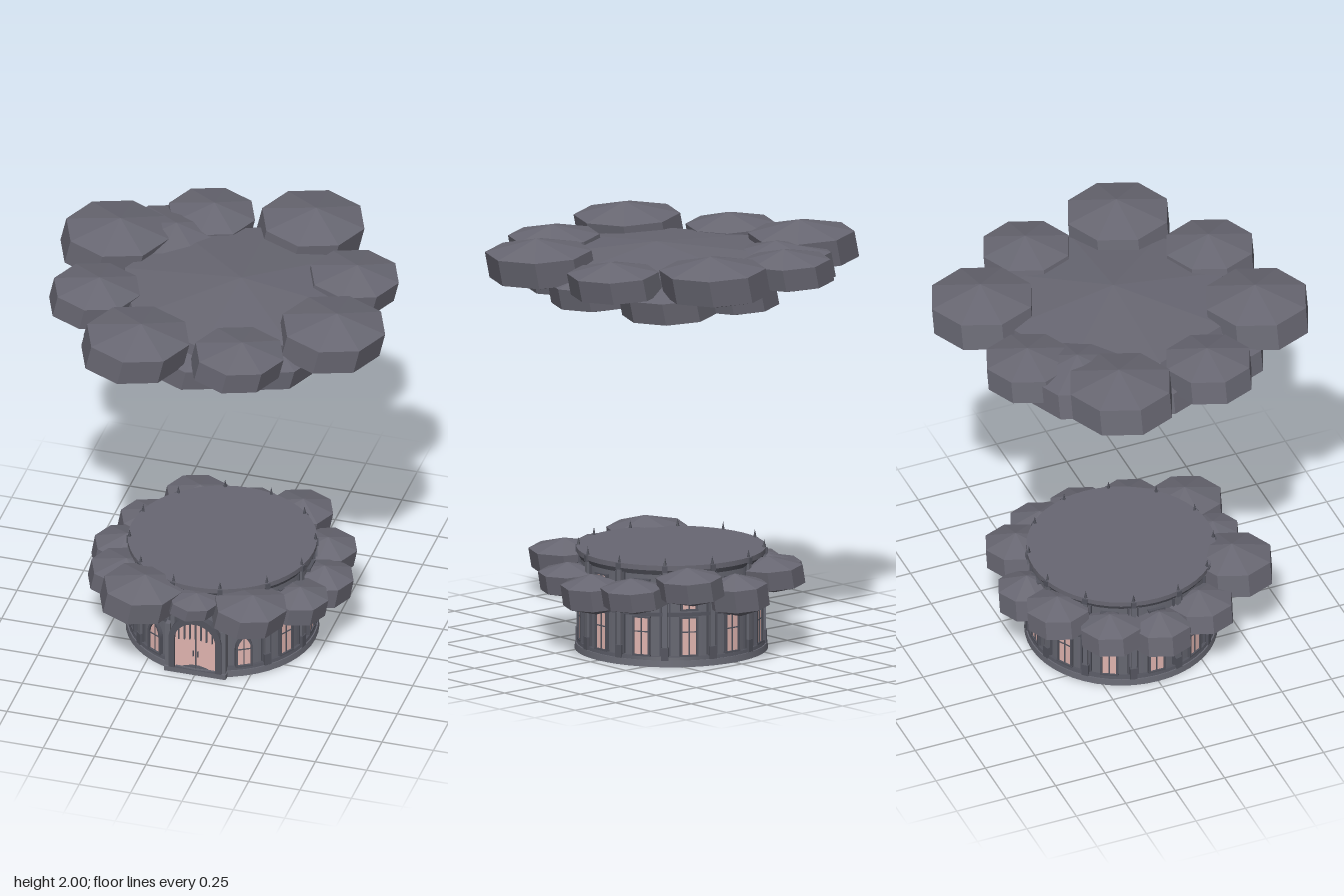
import * as THREE from 'three';

const mat = (name, color, opts = {}) => Object.assign(new THREE.MeshStandardMaterial({ color, ...opts }), { name });

export function createModel() {
  const model = new THREE.Group();
  const cloudGrey = mat('cloud grey', 0x686772, { flatShading: true });
  const stone = mat('wall stone', 0x666771);
  const trim = mat('dark trim', 0x53545e);
  const roofGrey = mat('roof grey', 0x686772);
  const glass = mat('rose glass', 0xdfb3ae, { side: THREE.DoubleSide });

  const add = (parent, name, geo, material, x = 0, y = 0, z = 0) => {
    const m = new THREE.Mesh(geo, material);
    m.name = name;
    m.position.set(x, y, z);
    parent.add(m);
    return m;
  };
  const box = (parent, name, material, w, h, d, x, y, z) =>
    add(parent, name, new THREE.BoxGeometry(w, h, d), material, x, y, z);

  // Faceted cloud: eight-sided low sphere, leaning a little, then squashed
  const puff = new THREE.SphereGeometry(1, 8, 3).rotateZ(-0.1);
  const cloud = (parent, name, x, y, z, r, half) =>
    add(parent, name, puff, cloudGrey, x, y, z).scale.set(r / 0.866, half, r / 0.866);

  // Cloud canopy: [x, y, z, radius, half height]
  const canopy = new THREE.Group();
  canopy.name = 'cloudCanopy';
  model.add(canopy);
  cloud(canopy, 'canopyCore', 0.03, 1.82, 0, 0.54, 0.13);
  const canopyClouds = [
    // large top clouds
    [0.6, 1.875, 0.24, 0.25, 0.125], [0.25, 1.875, -0.595, 0.25, 0.125],
    [-0.6, 1.875, -0.25, 0.25, 0.125], [-0.25, 1.875, 0.585, 0.25, 0.125],
    // middle clouds
    [0.56, 1.855, -0.24, 0.215, 0.105], [-0.23, 1.855, -0.56, 0.21, 0.105],
    [-0.56, 1.855, 0.21, 0.21, 0.11], [0.235, 1.86, 0.55, 0.215, 0.105],
    // low clouds tucked underneath
    [0, 1.755, 0.44, 0.2, 0.1], [0, 1.755, -0.45, 0.2, 0.1],
    [-0.445, 1.765, 0, 0.2, 0.1], [0.49, 1.765, 0, 0.2, 0.1],
    [0.34, 1.745, -0.36, 0.22, 0.105], [0.33, 1.765, 0.34, 0.22, 0.1],
    [-0.34, 1.765, 0.35, 0.22, 0.1], [-0.36, 1.83, -0.36, 0.25, 0.12],
  ];
  canopyClouds.forEach((c) => cloud(canopy, 'canopyCloud', ...c));

  // Clouds wrapped around the building
  const ring = new THREE.Group();
  ring.name = 'cloudRing';
  model.add(ring);
  const ringClouds = [
    [-0.26, 0.41, 0.46, 0.19, 0.11], [0.26, 0.395, 0.44, 0.175, 0.095], [0, 0.412, 0.47, 0.12, 0.058],
    [0.48, 0.32, 0, 0.15, 0.1], [-0.48, 0.32, 0, 0.15, 0.1],
    [0.43, 0.345, 0.225, 0.145, 0.088], [-0.42, 0.345, 0.225, 0.16, 0.09],
    [0.43, 0.34, -0.225, 0.15, 0.088], [-0.42, 0.34, -0.225, 0.15, 0.088],
    [0.25, 0.39, -0.42, 0.155, 0.095], [-0.25, 0.38, -0.42, 0.155, 0.09],
    [0, 0.325, -0.47, 0.145, 0.105],
  ];
  ringClouds.forEach((c) => cloud(ring, 'ringCloud', ...c));

  // Round hall
  const hall = new THREE.Group();
  hall.name = 'roundHall';
  model.add(hall);
  const drum = (name, material, r0, r1, y0, y1) =>
    add(hall, name, new THREE.CylinderGeometry(r1, r0, y1 - y0, 48), material, 0, (y0 + y1) / 2, 0);
  drum('basePlinth', stone, 0.452, 0.448, 0, 0.03);
  drum('baseStep', trim, 0.442, 0.438, 0.03, 0.045);
  drum('wall', stone, 0.425, 0.425, 0.04, 0.455);
  drum('stringCourse', trim, 0.436, 0.436, 0.238, 0.255);
  drum('cornice', trim, 0.428, 0.438, 0.435, 0.458);
  drum('roof', roofGrey, 0.442, 0.442, 0.458, 0.482);

  // Pointed or round arch outline standing on y0
  const archShape = (Shape, w, y0, spring, top, pointed) => {
    const s = new Shape();
    s.moveTo(-w, y0);
    s.lineTo(w, y0);
    s.lineTo(w, spring);
    if (pointed) {
      s.quadraticCurveTo(w, (spring + top) / 2, 0, top);
      s.quadraticCurveTo(-w, (spring + top) / 2, -w, spring);
    } else s.absellipse(0, spring, w, top - spring, 0, Math.PI, false);
    s.closePath();
    return s;
  };
  const archFrame = (parent, name, outer, inner, depth, z) => {
    const s = archShape(THREE.Shape, ...outer);
    s.holes.push(archShape(THREE.Path, ...inner));
    add(parent, name, new THREE.ExtrudeGeometry(s, { depth, bevelEnabled: false, curveSegments: 12 }), trim, 0, 0, z);
  };

  // Tall pane with frame, mullion and crossbar
  const windowPane = (parent, w, y0, y1) => {
    const h = y1 - y0, y = (y0 + y1) / 2;
    box(parent, 'windowGlass', glass, w, h, 0.006, 0, y, 0.428);
    for (const s of [-1, 1]) {
      box(parent, 'windowJamb', trim, 0.01, h, 0.02, s * (w / 2 + 0.004), y, 0.428);
      box(parent, 'windowSill', trim, w + 0.02, 0.008, 0.022, 0, y + s * h / 2, 0.428);
    }
    box(parent, 'windowMullion', trim, 0.006, h, 0.01, 0, y, 0.43);
    box(parent, 'windowCrossbar', trim, w, 0.005, 0.01, 0, y0 + h * 0.62, 0.43);
  };

  for (let i = 0; i < 12; i++) {
    const bay = new THREE.Group();
    bay.name = 'bay';
    bay.rotation.y = (i * Math.PI) / 6;
    hall.add(bay);
    windowPane(bay, 0.064, i === 0 ? 0.335 : 0.268, 0.41);
    if (i === 1 || i === 11) {
      // lancet windows beside the door
      const lancet = [0.032, 0.05, 0.14, 0.205, true];
      add(bay, 'lancetGlass', new THREE.ShapeGeometry(archShape(THREE.Shape, ...lancet)), glass, 0, 0, 0.431);
      archFrame(bay, 'lancetFrame', [0.042, 0.042, 0.14, 0.222, true], lancet, 0.02, 0.422);
      box(bay, 'lancetMullion', trim, 0.005, 0.15, 0.008, 0, 0.125, 0.431);
      box(bay, 'lancetCrossbar', trim, 0.064, 0.005, 0.008, 0, 0.135, 0.431);
    } else if (i !== 0) windowPane(bay, 0.068, 0.05, 0.232);

    // buttress with pinnacle between bays
    const pier = new THREE.Group();
    pier.name = 'buttress';
    pier.rotation.y = ((i + 0.5) * Math.PI) / 6;
    hall.add(pier);
    box(pier, 'buttressFoot', trim, 0.034, 0.06, 0.03, 0, 0.06, 0.432);
    box(pier, 'buttressShaft', stone, 0.022, 0.42, 0.03, 0, 0.25, 0.428);
    box(pier, 'buttressCap', trim, 0.024, 0.03, 0.028, 0, 0.465, 0.434);
    add(pier, 'pinnacle', new THREE.ConeGeometry(0.009, 0.04, 4), trim, 0, 0.5, 0.434);
    for (const s of [-1, 1]) box(pier, 'sidePilaster', trim, 0.008, 0.39, 0.016, s * 0.022, 0.245, 0.426);
  }

  // Front entrance
  const door = new THREE.Group();
  door.name = 'entrance';
  model.add(door);
  box(door, 'doorStep', stone, 0.3, 0.025, 0.1, 0, 0.0125, 0.405);
  const opening = [0.1, 0.025, 0.18, 0.28, false];
  archFrame(door, 'doorArch', [0.128, 0.025, 0.18, 0.315, false], opening, 0.055, 0.4);
  add(door, 'doorGlass', new THREE.ShapeGeometry(archShape(THREE.Shape, ...opening)), glass, 0, 0, 0.437);
  box(door, 'doorSeam', trim, 0.005, 0.2, 0.006, 0, 0.125, 0.44);
  for (let i = -3; i <= 3; i++) {
    const top = 0.18 + Math.sqrt(0.01 - (i * 0.027) ** 2);
    const low = 0.18 + 0.012 * (3 - Math.abs(i)) / 3;
    box(door, 'gateBar', trim, 0.006, top - low, 0.008, i * 0.027, (top + low) / 2, 0.441);
  }
  for (const s of [-1, 1]) {
    box(door, 'doorPost', stone, 0.022, 0.23, 0.05, s * 0.135, 0.14, 0.42);
    box(door, 'doorHandle', trim, 0.005, 0.03, 0.008, s * 0.012, 0.11, 0.441);
  }
  return model;
}
